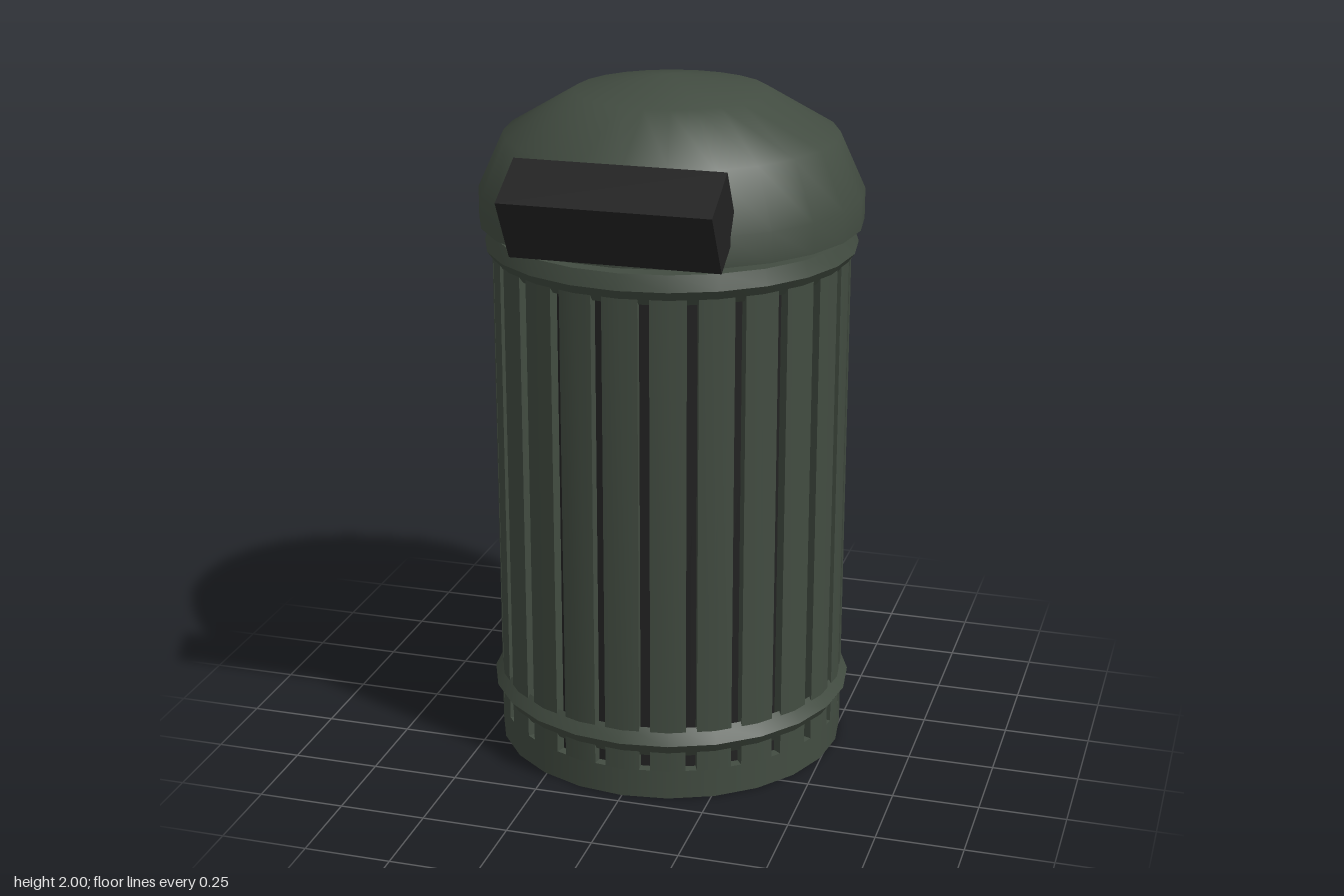
import * as THREE from 'three';
import { toCreasedNormals } from 'three/addons/utils/BufferGeometryUtils.js';

const SIDES = 24;
const STEP = (Math.PI * 2) / SIDES;

export function createModel() {
  const green = new THREE.MeshStandardMaterial({ name: 'dark green', color: 0x424c41 });
  const black = new THREE.MeshStandardMaterial({ name: 'soft black', color: 0x222222 });

  const model = new THREE.Group();
  model.name = 'trashCan';
  const can = new THREE.Group();
  can.name = 'can';
  can.position.z = -0.05;
  model.add(can);

  const add = (parent, name, geometry, material) => {
    const mesh = new THREE.Mesh(geometry, material);
    mesh.name = name;
    parent.add(mesh);
    return mesh;
  };
  // Turned part from [radius, height] pairs, listed bottom to top
  const turned = (name, points) => add(can, name, toCreasedNormals(
    new THREE.LatheGeometry(points.map(([r, y]) => new THREE.Vector2(r, y)), SIDES), 0.8), green);
  const drum = (name, radius, y0, y1, material) => {
    const geometry = new THREE.CylinderGeometry(radius, radius, y1 - y0, SIDES);
    geometry.translate(0, (y0 + y1) / 2, 0);
    return add(can, name, geometry, material);
  };

  // Fluted wall: one narrow slot in the middle of every side
  const radius = 0.515, halfSlot = 0.016, floor = 0.478;
  const face = radius * Math.cos(STEP / 2);
  const outline = [];
  for (let i = 0; i < SIDES; i++) {
    const a = i * STEP, m = a + STEP / 2;
    const c = Math.cos(m), s = Math.sin(m);
    outline.push(new THREE.Vector2(radius * Math.cos(a), radius * Math.sin(a)));
    for (const [r, t] of [[face, -halfSlot], [floor, -halfSlot], [floor, halfSlot], [face, halfSlot]]) {
      outline.push(new THREE.Vector2(r * c - t * s, r * s + t * c));
    }
  }
  const wall = new THREE.ExtrudeGeometry(new THREE.Shape(outline), { depth: 1.42, bevelEnabled: false });
  wall.rotateX(-Math.PI / 2).translate(0, 0.085, 0);
  add(can, 'flutedWall', toCreasedNormals(wall, 0.5), green);

  // Dark liner showing at the bottom of the slots
  drum('slotLiner', 0.482 / Math.cos(STEP / 2), 0.08, 1.5, black);
  drum('base', radius, 0, 0.086, green);
  drum('neck', 0.45, 1.5, 1.6, black);

  // Raised hoops
  turned('lowerHoop', [[0.505, 0.13], [0.535, 0.175], [0.508, 0.22]]);
  turned('upperHoop', [[0.502, 1.475], [0.535, 1.52], [0.52, 1.565], [0, 1.565]]);

  // Domed lid with a short skirt
  const lid = [[0, 1.588], [0.55, 1.588], [0.55, 1.675]];
  for (let i = 1; i <= 3; i++) {
    const a = (i * Math.PI) / 6;
    lid.push([i === 3 ? 0 : 0.55 * Math.cos(a), 1.675 + 0.325 * Math.sin(a)]);
  }
  turned('domedLid', lid);

  // Tilted flap box on the front of the lid
  const flap = add(model, 'flapBox', new THREE.BoxGeometry(0.59, 0.2, 0.175), black);
  flap.position.set(0, 1.725, 0.475);
  flap.rotation.x = Math.PI / 6;

  return model;
}
